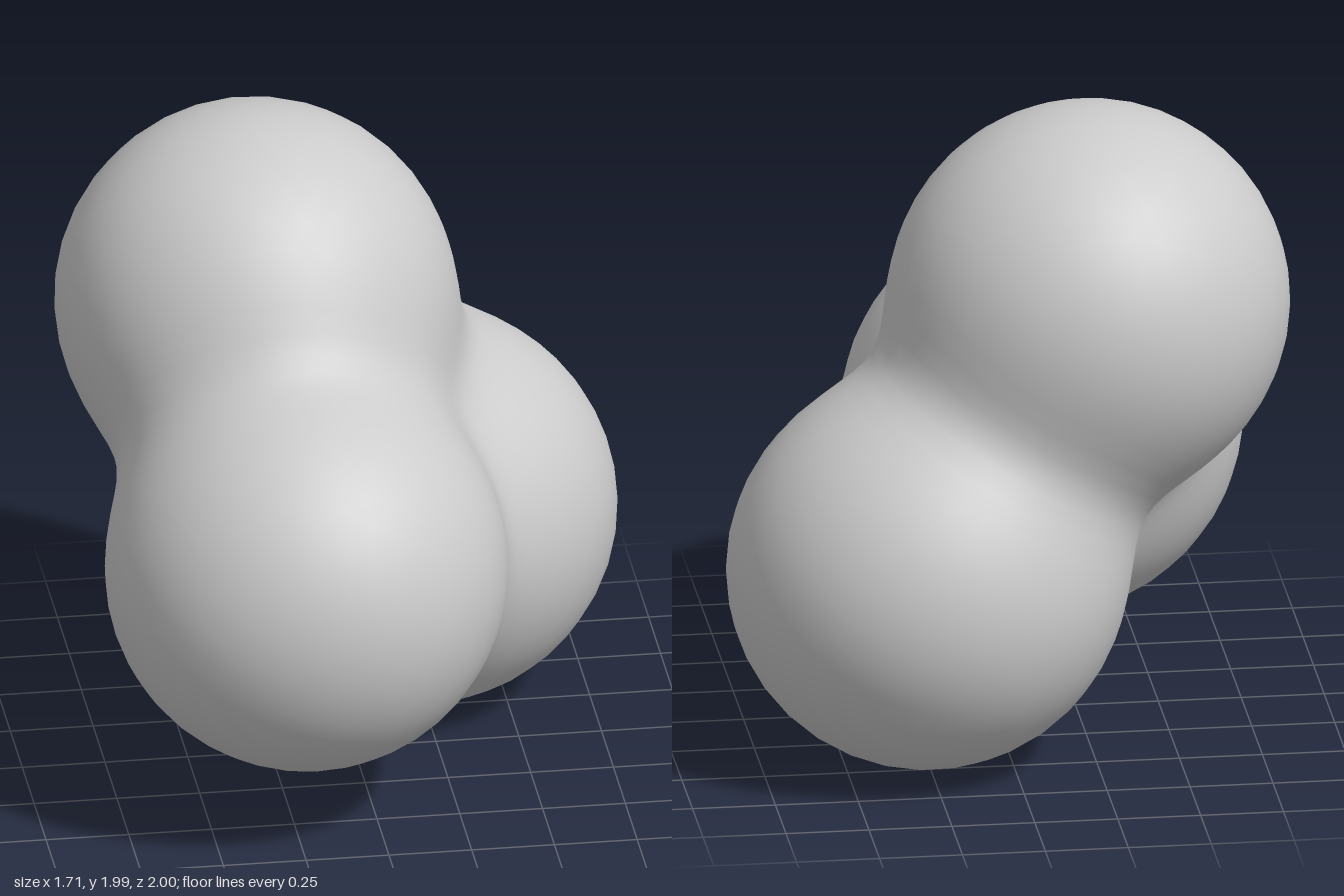
import * as THREE from 'three';
import { mergeVertices } from 'three/addons/utils/BufferGeometryUtils.js';

// Three equal balls melted together
const RADIUS = 0.6;
const BLEND = 0.1;
const CENTRES = [
  new THREE.Vector3(-0.26, 1.39, -0.26), // upper ball
  new THREE.Vector3(-0.2, 0.79, 0.4), // front ball
  new THREE.Vector3(0.25, 0.6, -0.4), // lower back ball
];

// Smoothly blended distance to the balls: negative inside
function blendedDistance(p) {
  let sum = 0;
  for (const c of CENTRES) sum += Math.exp(-(p.distanceTo(c) - RADIUS) / BLEND);
  return -BLEND * Math.log(sum);
}

// Push every vertex of a sphere out from the middle until it meets the blended skin
function blobGeometry(detail) {
  const sphere = new THREE.IcosahedronGeometry(1, detail);
  sphere.deleteAttribute('uv');
  sphere.deleteAttribute('normal');
  const geometry = mergeVertices(sphere, 1e-4);
  const middle = new THREE.Vector3();
  CENTRES.forEach((c) => middle.addScaledVector(c, 1 / CENTRES.length));

  const position = geometry.attributes.position;
  const direction = new THREE.Vector3();
  const point = new THREE.Vector3();
  for (let i = 0; i < position.count; i++) {
    direction.fromBufferAttribute(position, i).normalize();
    let near = 0;
    let far = 1.6;
    for (let step = 0; step < 30; step++) {
      const mid = (near + far) / 2;
      point.copy(middle).addScaledVector(direction, mid);
      if (blendedDistance(point) < 0) near = mid;
      else far = mid;
    }
    position.setXYZ(i, point.x, point.y, point.z);
  }
  geometry.computeVertexNormals();
  return geometry;
}

export function createModel() {
  const group = new THREE.Group();
  group.name = 'blobCluster';
  const blob = new THREE.Mesh(
    blobGeometry(12),
    new THREE.MeshStandardMaterial({ color: 0xcccccc })
  );
  blob.name = 'fusedBalls';
  group.add(blob);
  return group;
}
